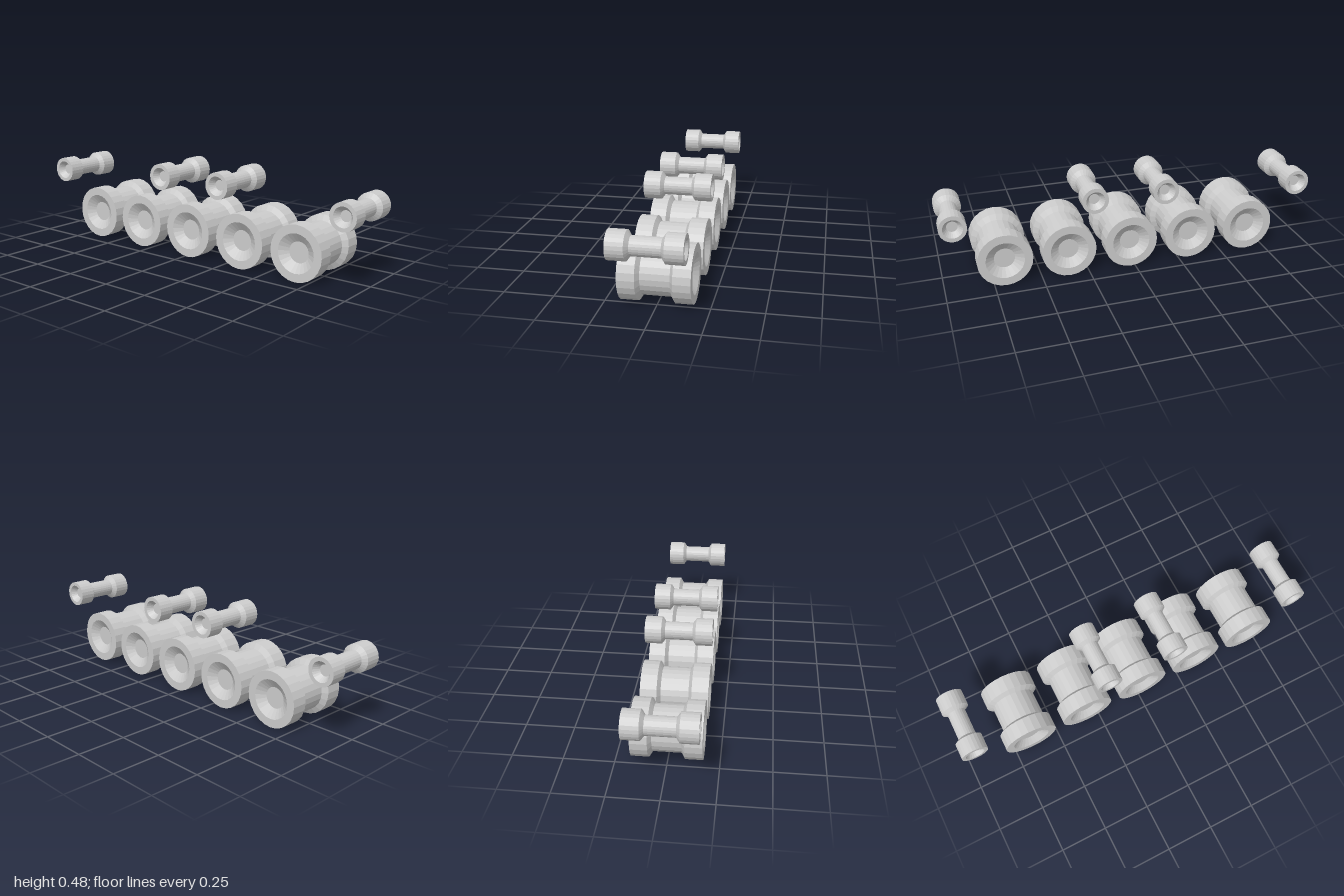
import * as THREE from 'three';

const material = new THREE.MeshStandardMaterial({ color: 0xcccccc, flatShading: true });

// Spool-shaped double wheel: dished faces, wide rims, bevelled inner flanges and a narrower drum
function spoolGeometry(rim, drum, dish, hub) {
  const half = [
    [0, 0.14], [hub, 0.14], [dish, 0.171], [rim, 0.171], [rim, 0.087], [drum, 0.07],
  ];
  const profile = [
    ...half.map(([r, z]) => new THREE.Vector2(r, -z)),
    ...half.reverse().map(([r, z]) => new THREE.Vector2(r, z)),
  ];
  return new THREE.LatheGeometry(profile, 24).rotateX(Math.PI / 2);
}

export function createModel() {
  const model = new THREE.Group();
  model.name = 'runningGear';

  const add = (name, geometry, x, y) => {
    const mesh = new THREE.Mesh(geometry, material);
    mesh.name = name;
    mesh.position.set(x, y, 0);
    model.add(mesh);
  };

  // Five evenly spaced road wheels on the ground
  const roadWheel = spoolGeometry(0.143, 0.115, 0.1, 0.054);
  for (let i = 0; i < 5; i++) add(`roadWheel${i + 1}`, roadWheel, -0.646 + i * 0.3335, 0.143);

  // Small rollers: one at each end and two higher up between them
  const roller = spoolGeometry(0.07, 0.046, 0.05, 0.028);
  add('endRollerRight', roller, -0.93, 0.359);
  add('endRollerLeft', roller, 0.93, 0.359);
  add('returnRollerRight', roller, -0.17, 0.407);
  add('returnRollerLeft', roller, 0.211, 0.407);

  return model;
}
